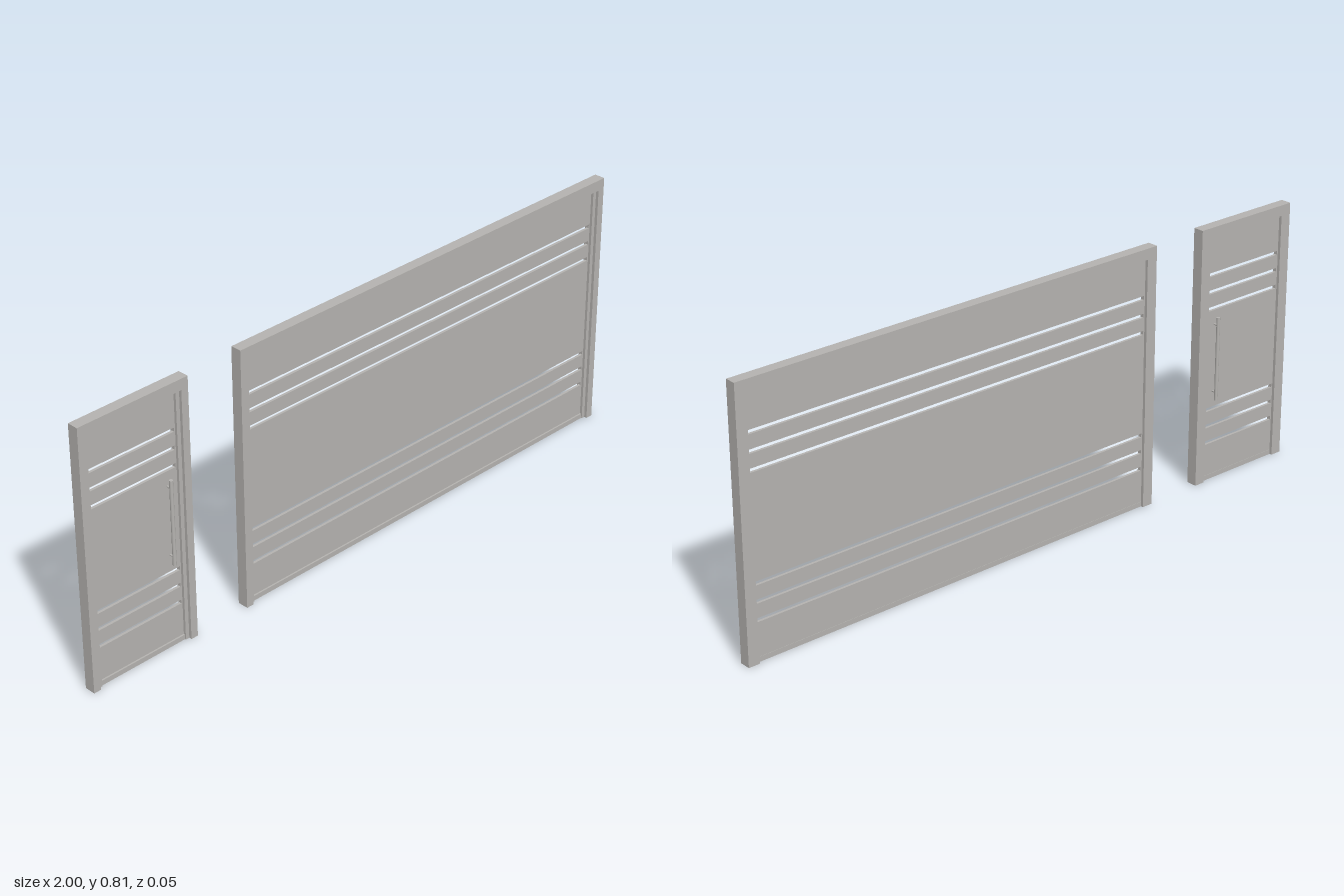
import * as THREE from 'three';

const HEIGHT = 0.808, BACK = -0.013, FRONT = 0.021;
const SLOTS = [0.123, 0.177, 0.23, 0.551, 0.604, 0.658];

export function createModel() {
  const grey = new THREE.MeshStandardMaterial({ color: 0xb5b3b0 });
  grey.name = 'grey metal';
  const model = new THREE.Group();
  model.name = 'garageAndEntryDoors';

  // Box given by its limits on each axis
  function box(parent, name, x0, x1, y0, y1, z0, z1) {
    const mesh = new THREE.Mesh(new THREE.BoxGeometry(x1 - x0, y1 - y0, z1 - z0), grey);
    mesh.position.set((x0 + x1) / 2, (y0 + y1) / 2, (z0 + z1) / 2);
    mesh.name = name;
    parent.add(mesh);
  }

  // Rectangular outline
  function rect(path, x0, x1, y0, y1) {
    path.moveTo(x0, y0);
    path.lineTo(x1, y0);
    path.lineTo(x1, y1);
    path.lineTo(x0, y1);
    path.closePath();
    return path;
  }

  // Framed leaf with open horizontal slots
  function door(name, x0, x1) {
    const group = new THREE.Group();
    group.name = name;
    model.add(group);
    const jamb = 0.023, side = 0.035, top = HEIGHT - 0.033;

    // Outer frame, open at the bottom
    const outline = new THREE.Shape([
      [x0, 0], [x0 + jamb, 0], [x0 + jamb, top], [x1 - jamb, top],
      [x1 - jamb, 0], [x1, 0], [x1, HEIGHT], [x0, HEIGHT],
    ].map(([x, y]) => new THREE.Vector2(x, y)));
    const frameGeometry = new THREE.ExtrudeGeometry(outline, { depth: FRONT - BACK, bevelEnabled: false });
    frameGeometry.translate(0, 0, BACK);
    const frame = new THREE.Mesh(frameGeometry, grey);
    frame.name = 'frame';
    group.add(frame);

    // Side stops, set back from the front of the frame
    box(group, 'leftStop', x1 - side, x1 - jamb, 0, top, BACK, 0.012);
    box(group, 'rightStop', x0 + jamb, x0 + side, 0, top, BACK, 0.012);

    // Slotted panel
    const shape = rect(new THREE.Shape(), x0 + side, x1 - side, 0.002, top);
    for (const y of SLOTS) {
      shape.holes.push(rect(new THREE.Path(), x0 + side + 0.004, x1 - side - 0.004, y - 0.006, y + 0.006));
    }
    const panelGeometry = new THREE.ExtrudeGeometry(shape, { depth: 0.008, bevelEnabled: false });
    panelGeometry.translate(0, 0, -0.004);
    const panel = new THREE.Mesh(panelGeometry, grey);
    panel.name = 'panel';
    group.add(panel);

    // Low sill along the foot of the panel
    box(group, 'sill', x0 + side, x1 - side, 0, 0.015, -0.005, 0.009);
    return group;
  }

  door('garageDoor', -0.454, 1);
  const entry = door('entryDoor', -1, -0.636);

  // Pull handles on both faces of the entry door
  for (const s of [1, -1]) {
    const handle = new THREE.Group();
    handle.name = s > 0 ? 'frontHandle' : 'backHandle';
    const bar = new THREE.Mesh(new THREE.CylinderGeometry(0.0055, 0.0055, 0.263, 16), grey);
    bar.name = 'handleBar';
    bar.position.set(-0.705, 0.3935, s * 0.0195);
    handle.add(bar);
    for (const y of [0.287, 0.5]) {
      const post = new THREE.Mesh(new THREE.CylinderGeometry(0.003, 0.003, 0.017, 12), grey);
      post.name = 'handlePost';
      post.rotation.x = Math.PI / 2;
      post.position.set(-0.705, y, s * 0.0115);
      handle.add(post);
    }
    entry.add(handle);
  }
  return model;
}
